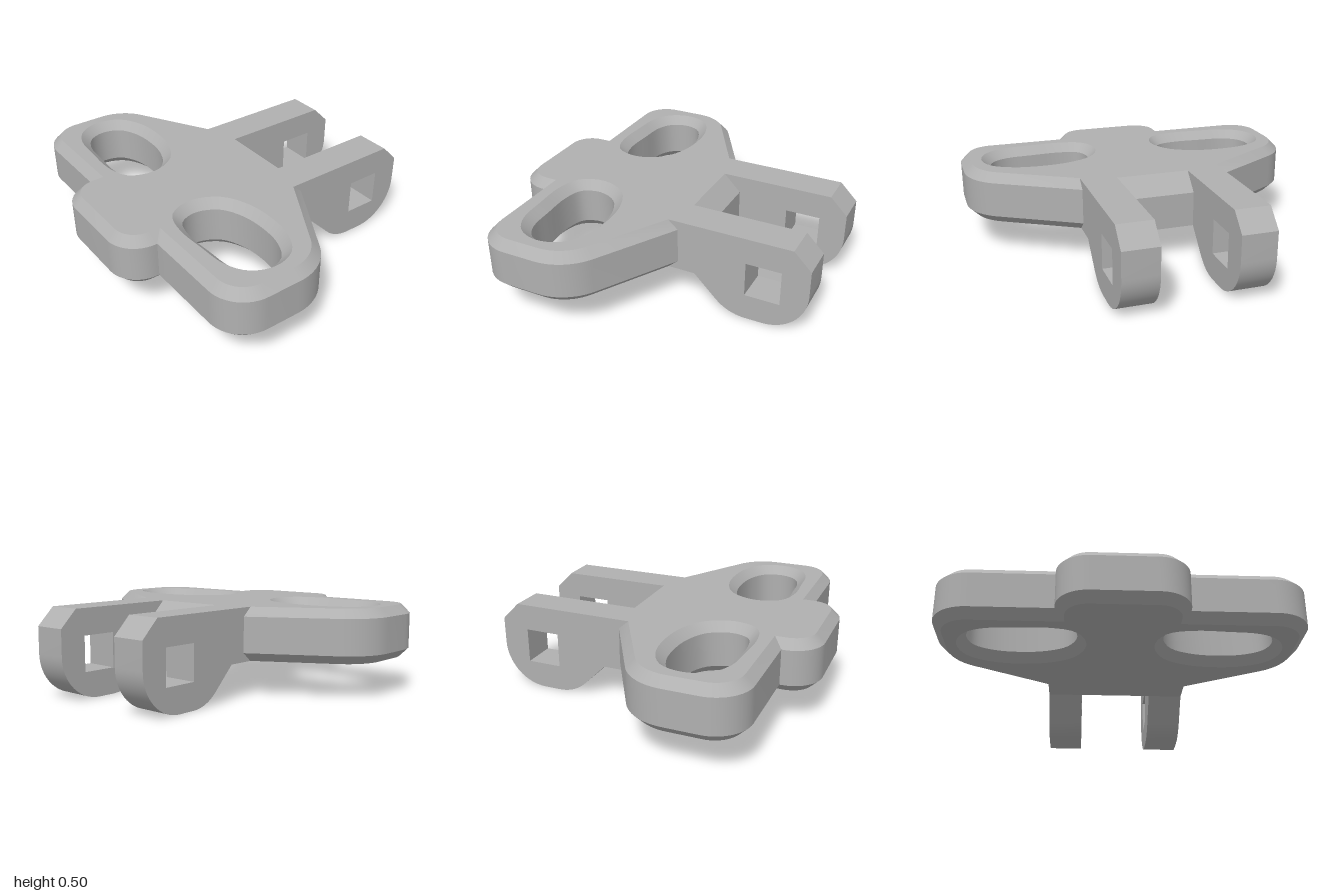
import * as THREE from 'three';
import { toCreasedNormals } from 'three/addons/utils/BufferGeometryUtils.js';

const V = (x, y) => new THREE.Vector2(x, y);

// Points along a circular arc, angles in degrees
function arc(cx, cy, r, from, to, n = 12) {
  return Array.from({ length: n + 1 }, (_, i) => {
    const a = THREE.MathUtils.degToRad(from + ((to - from) * i) / n);
    return V(cx + r * Math.cos(a), cy + r * Math.sin(a));
  });
}

export function createModel() {
  const group = new THREE.Group();
  const grey = new THREE.MeshStandardMaterial({ color: 0xb0b0b0 });
  grey.name = 'plainGrey';

  const add = (name, geometry) => {
    const mesh = new THREE.Mesh(toCreasedNormals(geometry, 0.5), grey);
    mesh.name = name;
    group.add(mesh);
  };

  // Side profile (x, y) extruded between two z positions
  const slab = (name, shape, z0, z1) => {
    const g = new THREE.ExtrudeGeometry(shape, { depth: z1 - z0, bevelEnabled: false });
    add(name, g.translate(0, 0, z0));
  };

  // Chamfered plate: half outline in (x, z), mirrored across z = 0
  const half = [
    V(0.19, 0.375),
    ...arc(-0.34, 0.705, 0.295, 30, 90),
    ...arc(-0.53, 0.8, 0.2, 90, 180),
    V(-0.73, 0.35),
    ...arc(-0.745, 0.175, 0.175, 90, 180),
  ];
  const outline = new THREE.Shape([...half, ...half.map((p) => V(p.x, -p.y)).reverse()]);

  // Egg-shaped openings, one in each wing
  const egg = [
    [-0.42, 0.235], [-0.3, 0.29], [-0.235, 0.42], [-0.22, 0.58], [-0.24, 0.71], [-0.3, 0.81],
    [-0.4, 0.84], [-0.49, 0.805], [-0.54, 0.72], [-0.555, 0.56], [-0.56, 0.38], [-0.525, 0.27],
  ];
  for (const s of [1, -1]) {
    const curve = new THREE.CatmullRomCurve3(egg.map(([x, z]) => new THREE.Vector3(x, s * z, 0)), true);
    outline.holes.push(new THREE.Path(curve.getPoints(48).slice(0, -1).map((p) => V(p.x, p.y))));
  }
  const plate = new THREE.ExtrudeGeometry(outline, {
    depth: 0.2, bevelThickness: 0.05, bevelSize: 0.05, bevelOffset: -0.05, bevelSegments: 1,
  });
  add('wingedPlate', plate.rotateX(Math.PI / 2).translate(0, 0.45, 0));

  // Chamfered bridge between the two arms
  const bridge = new THREE.Shape([V(0.11, 0.2), V(0.27, 0.2), V(0.27, 0.4), V(0.17, 0.5), V(0.11, 0.5)]);
  slab('bridge', bridge, -0.21, 0.21);

  // Fork arms with a square pin hole
  const arm = new THREE.Shape([
    V(0.11, 0.2), V(0.27, 0.2),
    ...arc(0.57, 0.24, 0.24, 225, 270, 8),
    ...arc(0.67, 0.25, 0.25, 270, 360, 16),
    V(0.92, 0.4), V(0.82, 0.5), V(0.11, 0.5),
  ]);
  arm.holes.push(new THREE.Path([V(0.565, 0.15), V(0.565, 0.35), V(0.765, 0.35), V(0.765, 0.15)]));
  slab('frontArm', arm, 0.21, 0.41);
  slab('backArm', arm, -0.41, -0.21);

  return group;
}
